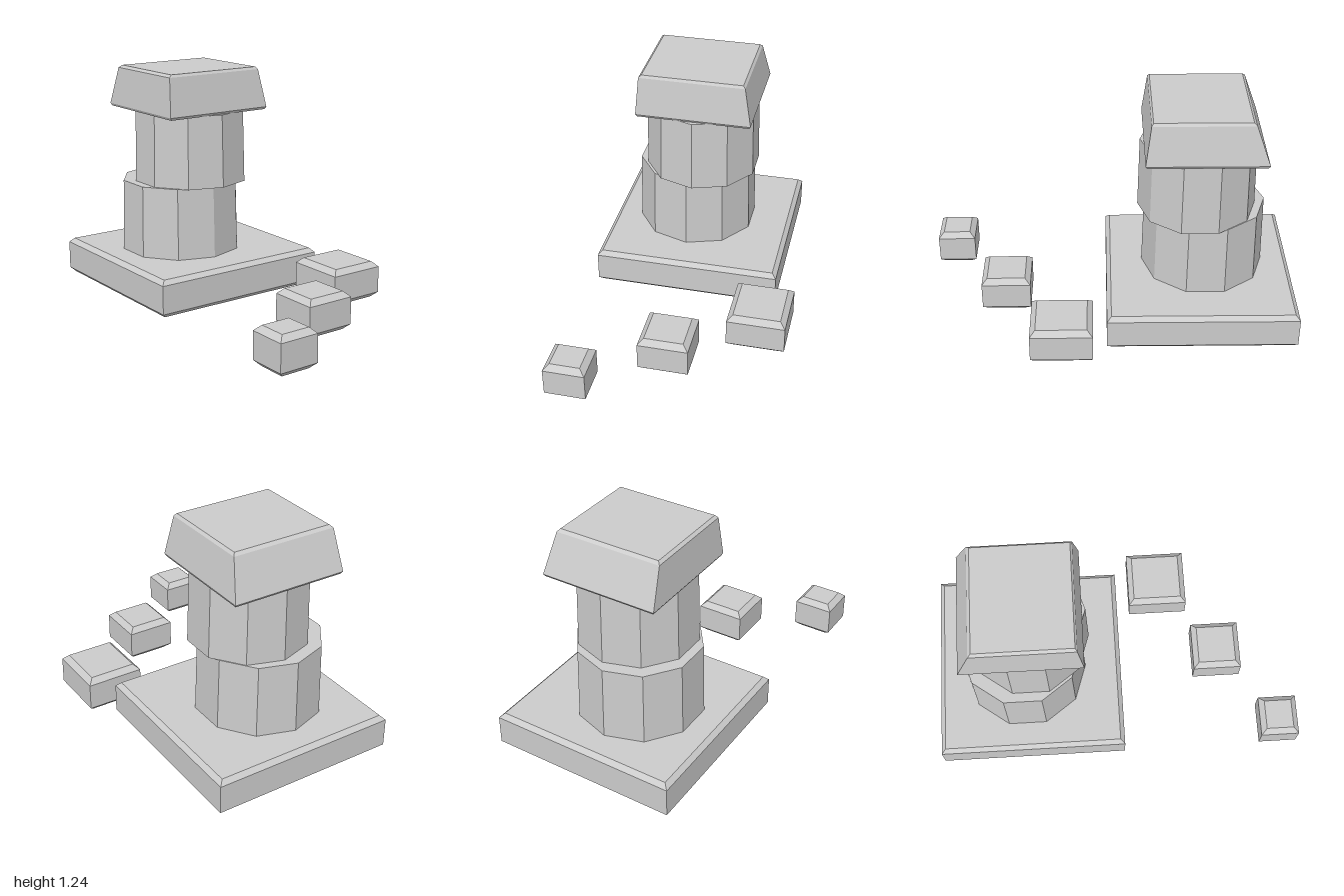
import * as THREE from 'three';

const material = new THREE.MeshStandardMaterial({ color: 0xcccccc, flatShading: true });

// Closed solid through stacked rectangles, each [y, xMin, xMax, zMin, zMax], bottom to top
function loftRects(layers) {
  const rings = layers.map(([y, x0, x1, z0, z1]) => [
    [x0, y, z1], [x1, y, z1], [x1, y, z0], [x0, y, z0],
  ]);
  const pos = [];
  const quad = (a, b, c, d) => pos.push(...a, ...b, ...c, ...a, ...c, ...d);
  for (let i = 0; i < rings.length - 1; i++) {
    const lo = rings[i], hi = rings[i + 1];
    for (let k = 0; k < 4; k++) {
      const n = (k + 1) % 4;
      quad(lo[k], lo[n], hi[n], hi[k]);
    }
  }
  const top = rings[rings.length - 1], bottom = rings[0];
  quad(top[0], top[1], top[2], top[3]);
  quad(bottom[3], bottom[2], bottom[1], bottom[0]);
  const geometry = new THREE.BufferGeometry();
  geometry.setAttribute('position', new THREE.Float32BufferAttribute(pos, 3));
  geometry.computeVertexNormals();
  return geometry;
}

// Slab with chamfered top and bottom rims
function slab(x0, x1, z0, z1, height, inset, rise) {
  const rect = (y, d) => [y, x0 + d, x1 - d, z0 + d, z1 - d];
  return loftRects([rect(0, inset), rect(rise, 0), rect(height - rise, 0), rect(height, inset)]);
}

export function createModel() {
  const group = new THREE.Group();
  const add = (name, geometry) => {
    const mesh = new THREE.Mesh(geometry, material);
    mesh.name = name;
    group.add(mesh);
    return mesh;
  };

  // Square plinth
  add('base', slab(-1, 0.023, -0.455, 0.568, 0.204, 0.024, 0.024));

  // Two offset ten-sided drums, corners on the x axis
  const drum = (name, x, z, y0, y1, rTop, rBottom) =>
    add(name, new THREE.CylinderGeometry(rTop, rBottom, y1 - y0, 10, 1, false, Math.PI / 2))
      .position.set(x, (y0 + y1) / 2, z);
  drum('lowerDrum', -0.513, 0.1, 0.2, 0.602, 0.329, 0.337);
  drum('upperDrum', -0.466, 0.06, 0.6, 1.0, 0.311, 0.319);

  // Skewed tapering capstone
  add('capstone', loftRects([
    [0.998, -0.793, -0.182, -0.248, 0.368],
    [1.012, -0.803, -0.174, -0.255, 0.376],
    [1.221, -0.727, -0.202, -0.217, 0.361],
    [1.235, -0.711, -0.212, -0.205, 0.346],
  ]));

  // Stepping stones, shrinking toward the front left
  const stones = [
    [0.097, 0.428, -0.572, -0.258],
    [0.443, 0.712, -0.117, 0.152],
    [0.79, 1.0, 0.343, 0.562],
  ];
  stones.forEach((s, i) => add(`steppingStone${i + 1}`, slab(...s, 0.204, 0.03, 0.029)));

  return group;
}
